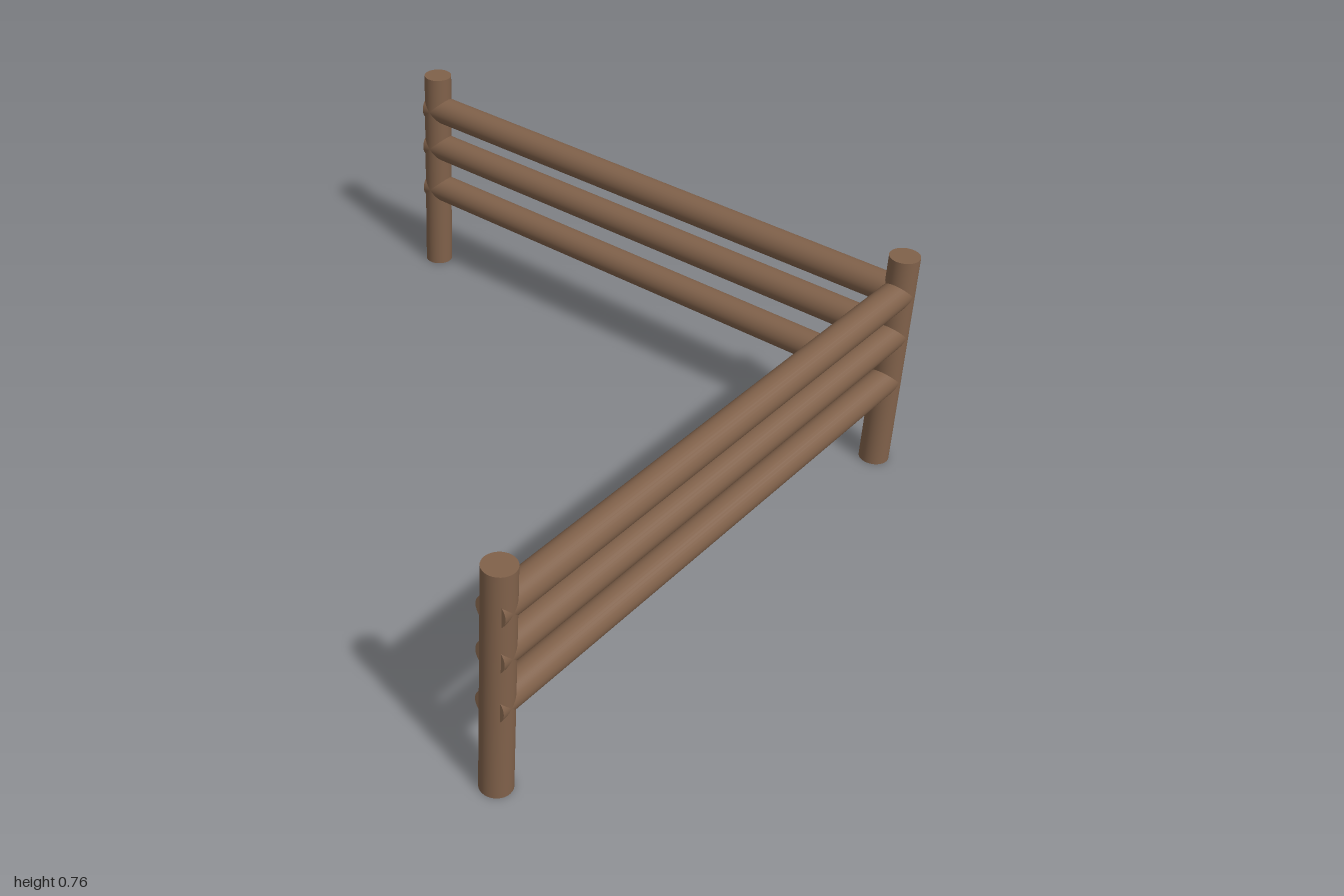
import * as THREE from 'three';

export function createModel() {
  const group = new THREE.Group();
  group.name = 'cornerFence';
  const wood = new THREE.MeshStandardMaterial({ color: 0x80614a });
  wood.name = 'brown wood';

  const R = 0.048, HEIGHT = 0.76, POST = 0.952;
  const RAIL_START = -0.984, RAIL_END = 0.955; // rails run past the outer posts and stop inside the corner post
  const railLength = RAIL_END - RAIL_START, railMid = (RAIL_START + RAIL_END) / 2;

  const postGeometry = new THREE.CylinderGeometry(R, R, HEIGHT, 32);
  const railGeometry = new THREE.CylinderGeometry(R, R, railLength, 32);

  function add(name, geometry, x, y, z) {
    const mesh = new THREE.Mesh(geometry, wood);
    mesh.name = name;
    mesh.position.set(x, y, z);
    group.add(mesh);
    return mesh;
  }

  // Upright posts
  add('rightPost', postGeometry, -POST, HEIGHT / 2, POST);
  add('cornerPost', postGeometry, POST, HEIGHT / 2, POST);
  add('backPost', postGeometry, POST, HEIGHT / 2, -POST);

  // Three rails on each side of the corner
  [0.31, 0.48, 0.63].forEach((y, i) => {
    add(`frontRail${i + 1}`, railGeometry, railMid, y, POST).rotation.z = Math.PI / 2;
    add(`sideRail${i + 1}`, railGeometry, POST, y, railMid).rotation.x = Math.PI / 2;
  });

  return group;
}
